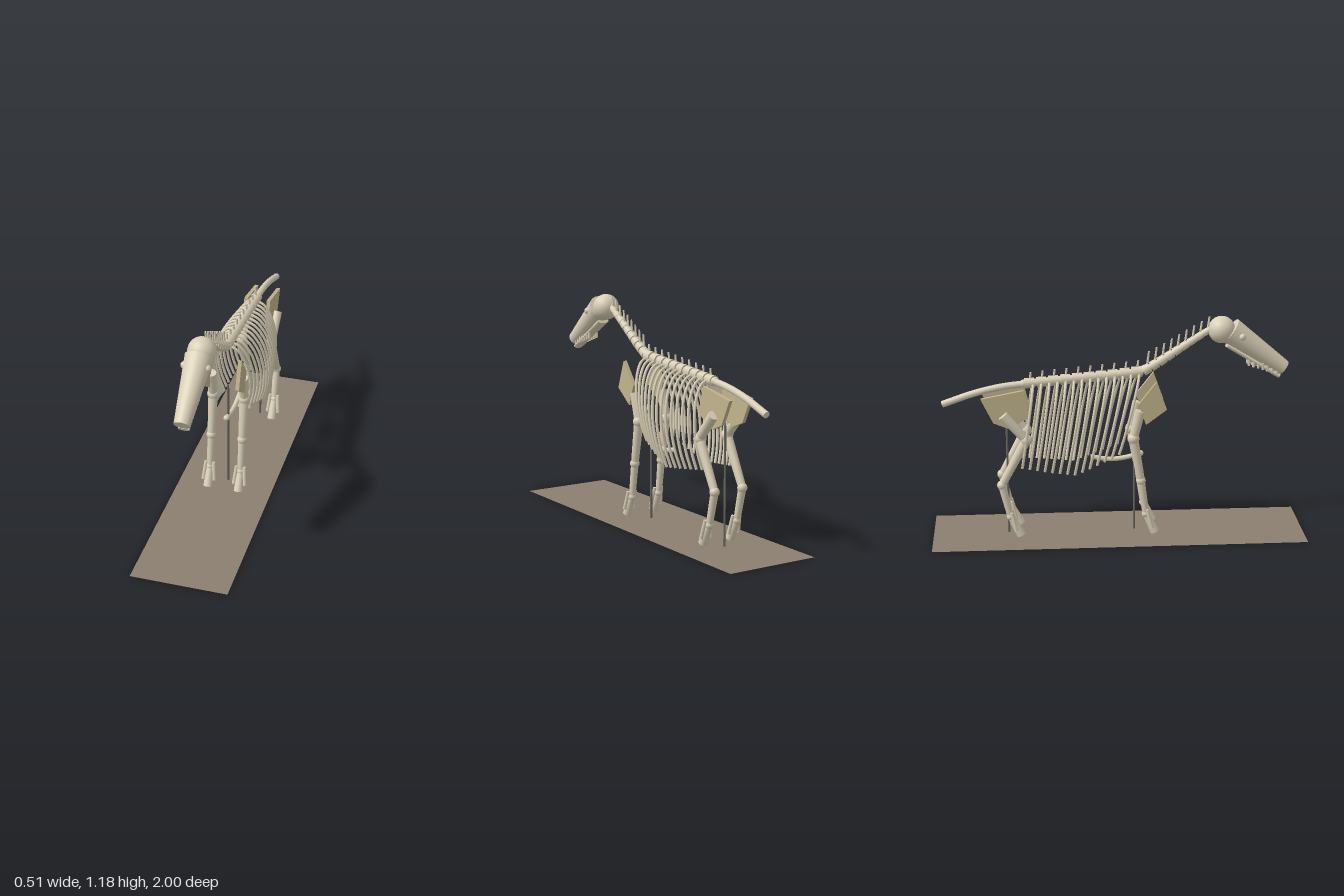
import * as THREE from 'three';

const mat = (color) => new THREE.MeshStandardMaterial({ color, roughness: 0.8 });
const BONE = mat(0xd9cfb6), PLATE = mat(0xc2b48c), ROD = mat(0x6b675f);
const BASE = mat(0x8a7f70);
BASE.side = THREE.DoubleSide;
const V = (x, y, z) => new THREE.Vector3(x, y, z);

export function createModel() {
  const model = new THREE.Group();
  model.name = 'skeleton';

  const add = (parent, name, geometry, material = BONE) => {
    const mesh = new THREE.Mesh(geometry, material);
    mesh.name = name;
    parent.add(mesh);
    return mesh;
  };
  const group = (name) => {
    const g = new THREE.Group();
    g.name = name;
    model.add(g);
    return g;
  };
  // Tapered cylinder between two points
  const bone = (parent, name, a, b, ra, rb = ra, material = BONE, sides = 16) => {
    const mesh = add(parent, name, new THREE.CylinderGeometry(rb, ra, a.distanceTo(b), sides), material);
    mesh.position.copy(a).lerp(b, 0.5);
    mesh.quaternion.setFromUnitVectors(V(0, 1, 0), b.clone().sub(a).normalize());
    return mesh;
  };
  const ball = (parent, name, p, r) => {
    const mesh = add(parent, name, new THREE.SphereGeometry(r, 24, 16));
    mesh.position.copy(p);
    return mesh;
  };
  const tube = (parent, name, points, r, n = 32, sides = 8) =>
    add(parent, name, new THREE.TubeGeometry(new THREE.CatmullRomCurve3(points), n, r, sides));
  // Flat bone outlined by [z, y] corners
  const plate = (parent, name, outline, x) => {
    const shape = new THREE.Shape(outline.map(([z, y]) => new THREE.Vector2(z, y)));
    const geo = new THREE.ExtrudeGeometry(shape, { depth: 0.02, bevelEnabled: false });
    geo.rotateY(-Math.PI / 2).translate(x + 0.01, 0, 0);
    return add(parent, name, geo, PLATE);
  };

  // Base and support rods
  add(model, 'base', new THREE.PlaneGeometry(0.515, 2).rotateX(-Math.PI / 2), BASE);
  for (const z of [0.086, -0.594]) {
    bone(model, 'supportRod', V(0, 0, z), V(0, 0.627, z), 0.006, 0.006, ROD, 10);
  }

  // Neck: vertebrae with tall spines
  const spine = group('spine');
  const neckCurve = new THREE.CatmullRomCurve3([
    V(0, 1.12, 0.49), V(0, 1.03, 0.35), V(0, 0.945, 0.22), V(0, 0.893, 0.13)]);
  const backCurve = new THREE.CatmullRomCurve3([
    V(0, 0.893, 0.13), V(0, 0.875, -0.05), V(0, 0.857, -0.28), V(0, 0.838, -0.5)]);
  add(spine, 'neckCore', new THREE.TubeGeometry(neckCurve, 24, 0.018, 12));
  add(spine, 'backCore', new THREE.TubeGeometry(backCurve, 24, 0.021, 12));

  const vertebrae = (curve, count, r0, r1, h0, h1, part) => {
    for (let i = 0; i < count; i++) {
      const t = (i + 0.5) / count;
      const p = curve.getPointAt(t), d = curve.getTangentAt(t);
      const half = d.clone().multiplyScalar(curve.getLength() / count * 0.42);
      const r = r0 + (r1 - r0) * t;
      bone(spine, part + 'Vertebra', p.clone().sub(half), p.clone().add(half), r * 0.92, r);
      const up = V(0, 1, 0.12).normalize().multiplyScalar(h0 + (h1 - h0) * t);
      bone(spine, part + 'Spine', p, p.clone().add(up), 0.007, 0.005, BONE, 8);
    }
  };
  vertebrae(neckCurve, 9, 0.018, 0.029, 0.075, 0.1, 'neck');
  vertebrae(backCurve, 10, 0.031, 0.028, 0.066, 0.06, 'back');

  // Tail
  tube(spine, 'tail', [V(0, 0.838, -0.49), V(0, 0.822, -0.62), V(0, 0.79, -0.76), V(0, 0.733, -0.93)], 0.018, 24, 14);
  ball(spine, 'tailBase', V(0, 0.838, -0.5), 0.022);
  const tailEnd = V(0, 0.733, -0.93);
  bone(spine, 'tailTip', V(0, 0.737, -0.92), tailEnd, 0.018);

  // Skull: cranium, tapered snout, lower jaw, eyes and teeth
  const skull = group('skull');
  ball(skull, 'cranium', V(0, 1.113, 0.545), 0.072);
  bone(skull, 'snout', V(0, 1.107, 0.592), V(0, 0.898, 0.882), 0.071, 0.041, BONE, 28);
  const jaw = bone(skull, 'lowerJaw', V(0, 1.032, 0.575), V(0, 0.857, 0.856), 0.034, 0.03, BONE, 20);
  jaw.scale.z = 0.45;
  for (const s of [-1, 1]) {
    ball(skull, 'eye', V(s * 0.058, 1.085, 0.647), 0.019);
    for (let i = 0; i < 7; i++) {
      const t = i / 6, y = 0.935 - 0.05 * t, z = 0.69 + 0.15 * t;
      bone(skull, 'tooth', V(s * 0.024, y + 0.02, z), V(s * 0.024, y - 0.015, z), 0.008, 0.007, BONE, 8);
    }
  }

  // Rib cage: paired arcs sweeping out, down and back
  const ribs = group('ribCage');
  const RIBS = 14;
  for (let i = 0; i < RIBS; i++) {
    const t = i / (RIBS - 1);
    const z = 0.11 - 0.56 * t, back = 0.11 - 0.045 * t;
    const top = 0.885 - 0.045 * t;
    const low = t < 0.45 ? 0.46 - 0.1 * (t / 0.45) : 0.36 + 0.035 * ((t - 0.45) / 0.55);
    const w = 0.112 + 0.038 * Math.sin(Math.PI * t);
    // Pairs of width share and drop share
    const arc = [[0.1, 0], [0.45, 0.05], [0.78, 0.2], [0.97, 0.43], [1, 0.6], [0.92, 0.82], [0.76, 1]];
    for (const s of [-1, 1]) {
      tube(ribs, 'rib', arc.map(([u, v]) => V(s * w * u, top + (low - top) * v, z - back * v)), 0.0075);
    }
  }

  // Breastbone
  tube(ribs, 'breastbone', [V(0, 0.435, 0.12), V(0, 0.412, 0.03), V(0, 0.406, -0.05), V(0, 0.422, -0.15)], 0.013, 20, 12);
  ball(ribs, 'breastboneTip', V(0, 0.435, 0.12), 0.016);

  // Legs: each is a chain of [y, z] joints with bone and joint radii
  const frontChain = [[0.70, 0.11], [0.548, 0.075], [0.31, 0.116], [0.12, 0.143], [0.016, 0.192]];
  const rearChain = [[0.69, -0.612], [0.552, -0.492], [0.302, -0.626], [0.123, -0.583], [0.016, -0.528]];
  const legBones = ['upperLeg', 'lowerLeg', 'cannon', 'toe'];
  const radii = [[0.028, 0.024], [0.026, 0.021], [0.021, 0.018], [0.018, 0.025]];
  const jointRadii = [0, 0.032, 0.026, 0.022];

  const leg = (name, chain, s) => {
    const g = group(name);
    const x = s * 0.086;
    const pts = chain.map(([y, z]) => V(x, y, z));
    legBones.forEach((part, i) => {
      bone(g, part, pts[i], pts[i + 1], ...radii[i]);
      if (i) ball(g, 'joint', pts[i], jointRadii[i]);
    });
    // Side toes flank the foot
    const z = chain[3][1];
    for (const k of [-1, 1]) {
      bone(g, 'sideToe', V(x + k * 0.022, 0.15, z + 0.005), V(x + k * 0.031, 0.048, z + 0.03), 0.009, 0.01, BONE, 10);
    }
  };
  for (const s of [-1, 1]) {
    leg(s > 0 ? 'leftFrontLeg' : 'rightFrontLeg', frontChain, s);
    leg(s > 0 ? 'leftHindLeg' : 'rightHindLeg', rearChain, s);
    plate(model, 'shoulderBlade', [[0.195, 0.862], [0.10, 0.74], [0.14, 0.628], [0.25, 0.71]], s * 0.095);
    plate(model, 'pelvis', [[-0.50, 0.82], [-0.727, 0.777], [-0.663, 0.645], [-0.583, 0.612], [-0.465, 0.676]], s * 0.064);
  }

  return model;
}
